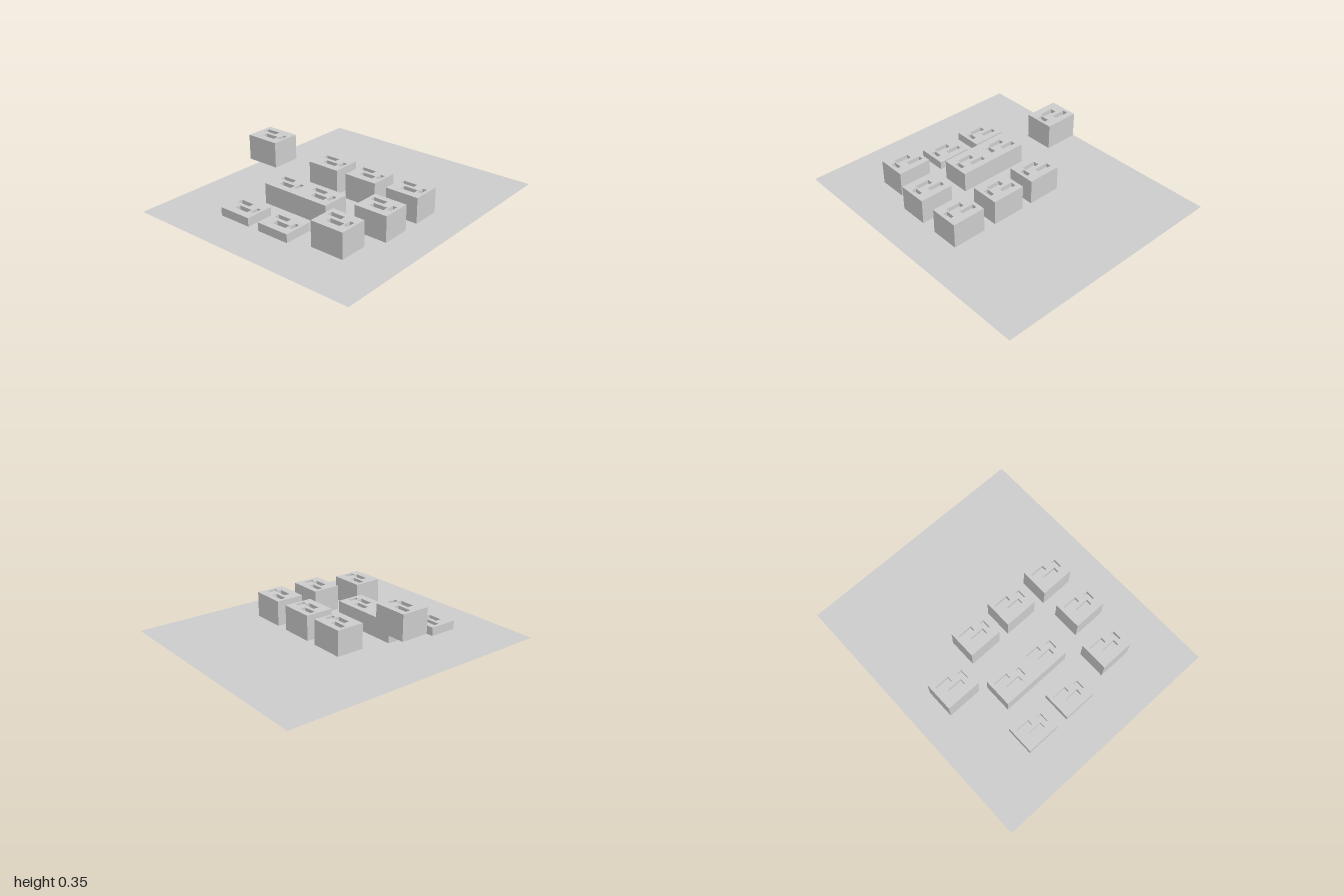
import * as THREE from 'three';

const material = new THREE.MeshStandardMaterial({ color: 0xcccccc, flatShading: true });
const groundMaterial = new THREE.MeshStandardMaterial({ color: 0xcccccc, side: THREE.DoubleSide });

const WIDTH = 0.245, DEPTH = 0.205, RECESS = 0.03;

// Roof recesses, measured from a block's back right corner: x, z, width, depth
const SLOTS = [
  [0.026, 0.044, 0.105, 0.038],
  [0.075, 0.110, 0.105, 0.042],
  [0.191, 0.068, 0.031, 0.065],
];

// Traces a rectangle on a shape or a hole path
function rectangle(path, x, z, w, d) {
  path.moveTo(x, z);
  path.lineTo(x + w, z);
  path.lineTo(x + w, z + d);
  path.lineTo(x, z + d);
  path.closePath();
  return path;
}

// A block with sets of slots sunk into its roof, one set per offset
function makeBlock(name, x, z, bottom, top, width = WIDTH, offsets = [0]) {
  const block = new THREE.Group();
  block.name = name;
  const height = top - bottom;
  const outline = rectangle(new THREE.Shape(), 0, 0, width, DEPTH);
  const fillHeight = height - RECESS;

  for (const offset of offsets) {
    for (const [sx, sz, w, d] of SLOTS) {
      outline.holes.push(rectangle(new THREE.Path(), sx + offset, sz, w, d));
      // Floor of the recess
      const floor = new THREE.Mesh(new THREE.BoxGeometry(w, fillHeight, d), material);
      floor.name = 'recessFloor';
      floor.position.set(sx + offset + w / 2, fillHeight / 2, sz + d / 2);
      block.add(floor);
    }
  }

  const geometry = new THREE.ExtrudeGeometry(outline, { depth: height, bevelEnabled: false });
  geometry.rotateX(Math.PI / 2);
  geometry.translate(0, height, 0);
  const body = new THREE.Mesh(geometry, material);
  body.name = 'blockBody';
  block.add(body);

  block.position.set(x, bottom, z);
  return block;
}

export function createModel() {
  const model = new THREE.Group();
  model.name = 'blocksOnGround';

  // Flat ground sheet
  const ground = new THREE.Mesh(new THREE.PlaneGeometry(1.735, 2).rotateX(-Math.PI / 2), groundMaterial);
  ground.name = 'ground';
  model.add(ground);

  // Back row of tall blocks
  for (const x of [-0.303, 0.02, 0.357]) model.add(makeBlock('backBlock', x, -0.209, 0, 0.18));

  // Tall blocks on the left side
  model.add(makeBlock('sideBlock', 0.357, 0.113, 0, 0.18));
  model.add(makeBlock('frontCornerBlock', 0.285, 0.439, 0, 0.18));

  // Long middle block with two sets of slots
  model.add(makeBlock('longBlock', -0.343, 0.187, 0, 0.145, 0.525, [0, 0.28]));

  // Low blocks at the front
  for (const x of [-0.434, -0.101]) model.add(makeBlock('lowBlock', x, 0.5, 0, 0.06));

  // Raised block floating above the ground
  model.add(makeBlock('raisedBlock', -0.67, 0, 0.172, 0.35));

  return model;
}
